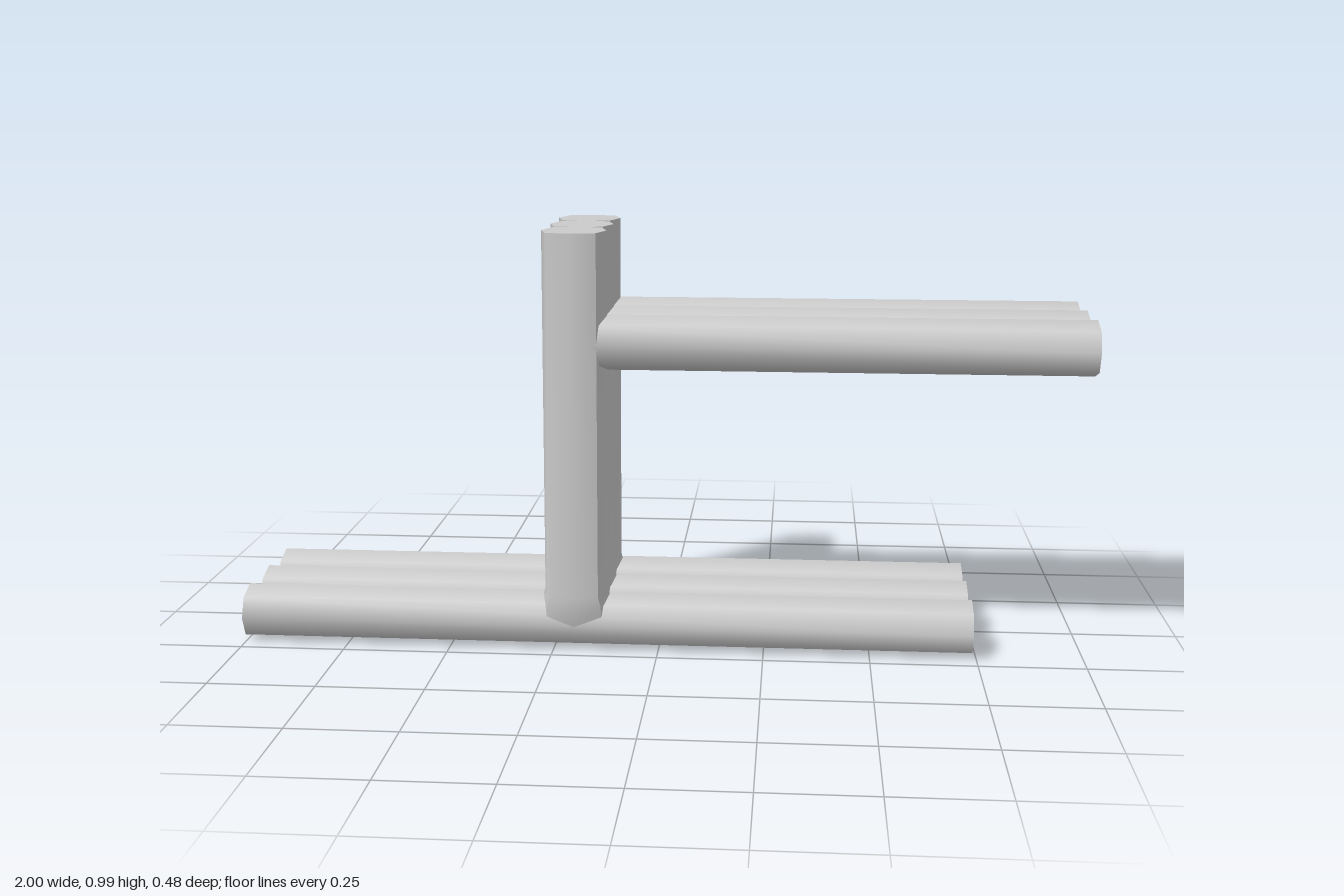
import * as THREE from 'three';
import { toCreasedNormals } from 'three/addons/utils/BufferGeometryUtils.js';

// Eight-sided section: half sizes a, b and the diagonal corner (da, db)
const octagon = (a, b, da, db) => [
  [a, 0], [da, db], [0, b], [-da, db], [-a, 0], [-da, -db], [0, -b], [da, -db],
];

// Closed skin over a list of rings that run along their normal
function loft(rings, crease) {
  const pos = [];
  const tri = (...pts) => pts.forEach((p) => pos.push(...p));
  const n = rings[0].length;
  for (let r = 0; r < rings.length - 1; r++) {
    for (let i = 0; i < n; i++) {
      const j = (i + 1) % n, A = rings[r], B = rings[r + 1];
      tri(A[i], A[j], B[j]);
      tri(A[i], B[j], B[i]);
    }
  }
  const first = rings[0], last = rings[rings.length - 1];
  for (let i = 1; i < n - 1; i++) {
    tri(first[0], first[i + 1], first[i]);
    tri(last[0], last[i], last[i + 1]);
  }
  const g = new THREE.BufferGeometry();
  g.setAttribute('position', new THREE.Float32BufferAttribute(pos, 3));
  return toCreasedNormals(g, crease);
}

// Bar along x
function bar(x0, x1, y, z, rz) {
  const sec = octagon(0.065, rz, 0.047, 0.055);
  return loft([x0, x1].map((x) => sec.map(([v, w]) => [x, y + v, z + w])), 1.2);
}

// Upright along y, slightly leaning back, with its foot blended into the lower bar
function upright(z) {
  const levels = [
    // y, z offset, z scale, x scale
    [0.065, 0.006, 0.93, 1.15],
    [0.115, 0.012, 1, 1.1],
    [0.14, 0.011, 1, 1],
    [0.995, -0.002, 1, 1],
  ];
  const sec = octagon(0.081, 0.076, 0.065, 0.058);
  return loft(levels.map(([y, dz, sz, sx]) =>
    sec.map(([v, w]) => [-0.198 + w * sx, y, z + dz + v * sz])), 0.85);
}

export function createModel() {
  const group = new THREE.Group();
  const material = new THREE.MeshStandardMaterial({ color: 0xcccccc });
  const add = (name, geometry) => {
    const mesh = new THREE.Mesh(geometry, material);
    mesh.name = name;
    group.add(mesh);
  };

  // Three identical frames side by side
  for (let i = -1; i <= 1; i++) {
    const z = i * 0.153;
    add('lowerBar', bar(-1, 0.74, 0.066, z + 0.003, 0.076));
    add('upright', upright(z - 0.002));
    add('upperBar', bar(-0.2, 1, 0.735, z - 0.005, 0.073));
  }
  return group;
}
